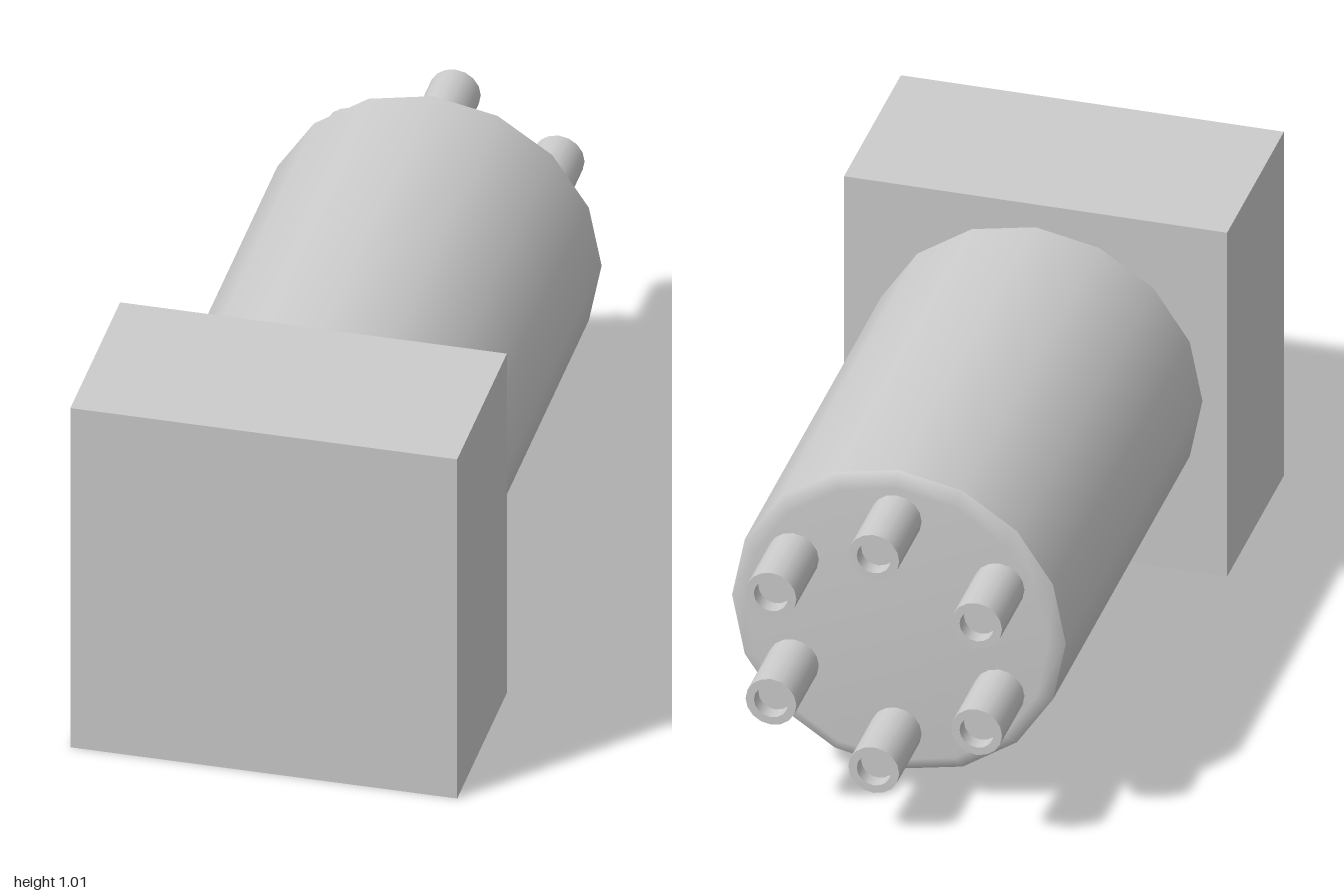
import * as THREE from 'three';
import { mergeGeometries } from 'three/addons/utils/BufferGeometryUtils.js';

const AXIS_Y = 0.507;

// Each profile is smooth within itself and meets the next with a sharp edge.
// Profile points are [radius, distance towards the back].
function turned(profiles, sides) {
  const parts = profiles.map((points) =>
    new THREE.LatheGeometry(points.map(([r, d]) => new THREE.Vector2(r, d)), sides));
  return mergeGeometries(parts).rotateX(-Math.PI / 2);
}

export function createModel() {
  const model = new THREE.Group();
  model.name = 'connector';

  const grey = new THREE.MeshStandardMaterial({ color: 0xcccccc });
  grey.name = 'light grey';

  function add(name, geometry, x, y, z) {
    const mesh = new THREE.Mesh(geometry, grey);
    mesh.name = name;
    mesh.position.set(x, y, z);
    model.add(mesh);
  }

  // Square block at the front
  add('frontBlock', new THREE.BoxGeometry(1.01, 1.014, 0.52), 0, AXIS_Y, 0.74);

  // Round body with a softly bevelled back cap
  add('body', turned([
    [[0.44, -0.48], [0.44, 0.77]],
    [[0.44, 0.77], [0.4, 0.795], [0, 0.795]],
  ], 16), 0, AXIS_Y, 0);

  // Ring of six pins with recessed ends
  const pin = turned([
    [[0.067, 0.79], [0.067, 1]],
    [[0.067, 1], [0.045, 1]],
    [[0.045, 1], [0.045, 0.96]],
    [[0.045, 0.96], [0, 0.96]],
  ], 16);
  for (let i = 0; i < 6; i++) {
    const a = Math.PI / 2 + (i * Math.PI) / 3;
    add(`pin${i + 1}`, pin, 0.313 * Math.cos(a), AXIS_Y + 0.313 * Math.sin(a), 0);
  }

  return model;
}
